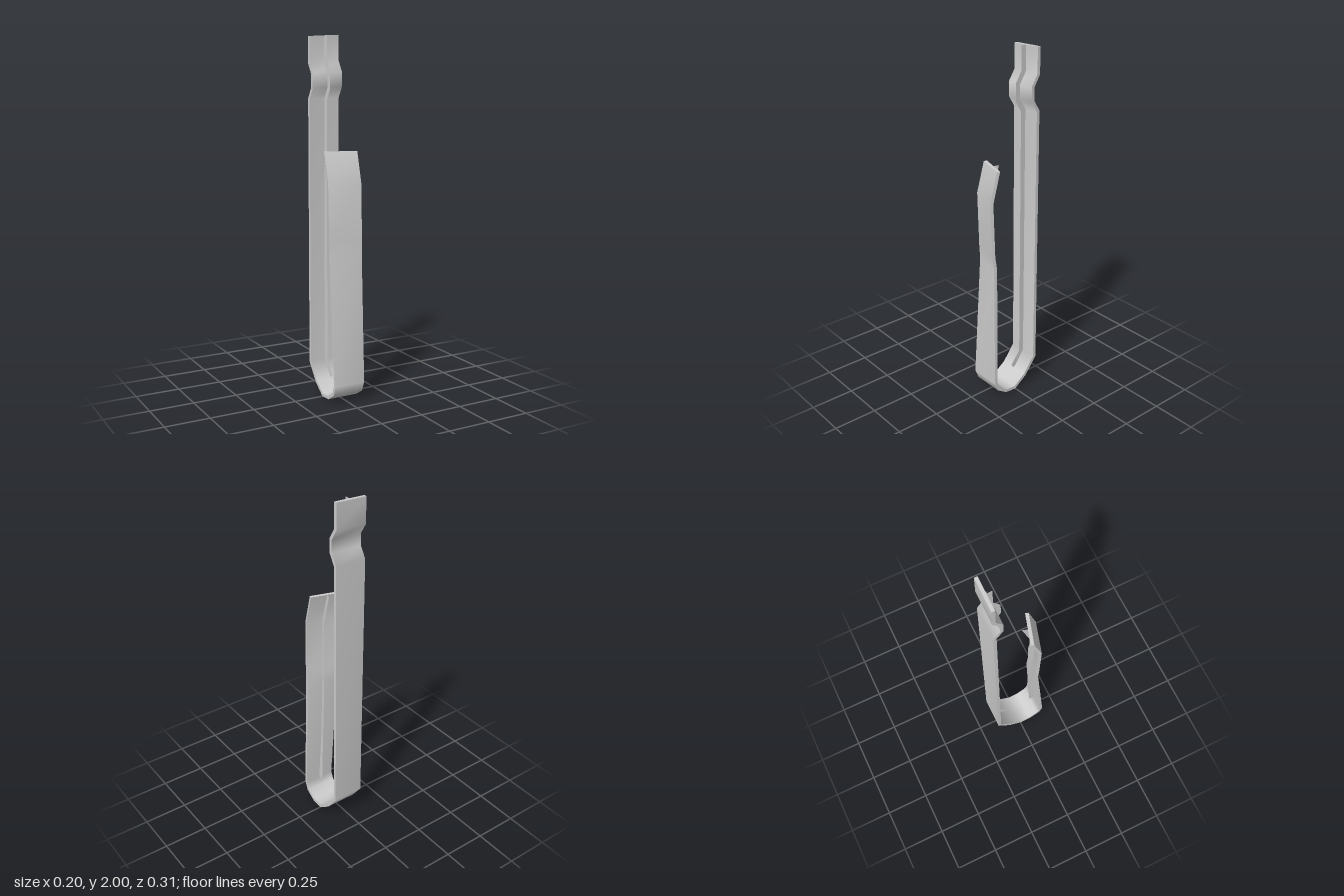
import * as THREE from 'three';
import { mergeGeometries } from 'three/addons/utils/BufferGeometryUtils.js';

const THICK = 0.018, HALF = 0.0905, RIB = 0.03;

// Outer-face stations from the short arm's tip, round the bend, up the long arm:
// z, y, centre x, twist in degrees, sideways tilt
const stations = [
  [0.087, 1.38, -0.013, 17, 0],
  [0.133, 1.21, -0.014, 16.5, 0],
  [0.129, 0.90, -0.006, 16, 0],
  [0.123, 0.82, -0.002, 14, 0],
  [0.154, 0.10, 0.009, 0, 0],
  [0.132, 0.045, 0.009, 0, 0],
  [0.07, 0.005, 0.009, 0, 0],
  [0, 0, 0.009, 0, 0],
  [-0.08, 0.06, 0.009, 0, 0],
  [-0.155, 0.16, 0.009, 0, 0],
  [-0.155, 1.66, 0.008, 0, 0.003],
  [-0.118, 1.72, 0.008, 0, 0.004],
  [-0.118, 1.79, 0.008, 0, 0.004],
  [-0.155, 1.85, 0.008, 0, 0.005],
  [-0.155, 1.995, 0.008, 0, 0.005],
];

// Mitred outward direction (z, y) at a station
function miter(i) {
  const dir = (a, b) => new THREE.Vector2(b[0] - a[0], b[1] - a[1]).normalize();
  const last = stations.length - 1;
  const before = dir(stations[Math.max(i - 1, 0)], stations[Math.max(i, 1)]);
  const after = dir(stations[Math.min(i, last - 1)], stations[Math.min(i + 1, last)]);
  const t = before.clone().add(after).normalize();
  const k = 1 / t.dot(after);
  // tips are cut level
  if (i === 0 || i === last) return { z: -Math.sign(t.y) / Math.abs(t.y), y: 0 };
  return { z: -t.y * k, y: t.x * k };
}

// Point at a station: side -1..1 across the strip, depth inward from the outer face
function point(i, side, depth) {
  const [z, y, x, deg, tilt] = stations[i];
  const a = THREE.MathUtils.degToRad(deg), n = miter(i), q = -depth * n.z, w = side * HALF;
  return [
    x + w * Math.cos(a) - q * Math.sin(a),
    y - depth * n.y + side * tilt,
    z + w * Math.sin(a) + q * Math.cos(a),
  ];
}

// Surface between two rows of points
function ribbon(a, b) {
  const index = [];
  for (let i = 0; i < a.length - 1; i++) {
    const p = 2 * i;
    index.push(p, p + 2, p + 1, p + 1, p + 2, p + 3);
  }
  const geo = new THREE.BufferGeometry();
  geo.setAttribute('position', new THREE.Float32BufferAttribute(a.flatMap((v, i) => [...v, ...b[i]]), 3));
  geo.setIndex(index);
  geo.computeVertexNormals();
  return geo;
}

const row = (from, to, side, depth) => {
  const pts = [];
  for (let i = from; i <= to; i++) pts.push(point(i, side, depth));
  return pts;
};

export function createModel() {
  const group = new THREE.Group();
  const last = stations.length - 1;
  const add = (name, geo, side = THREE.FrontSide) => {
    const mesh = new THREE.Mesh(geo, new THREE.MeshStandardMaterial({ color: 0xcccccc, side }));
    mesh.name = name;
    group.add(mesh);
  };

  // Bent strip: faces, edges and the two tips
  const oL = row(0, last, -1, 0), oR = row(0, last, 1, 0);
  const iL = row(0, last, -1, THICK), iR = row(0, last, 1, THICK);
  add('bentStrip', mergeGeometries([
    ribbon(oL, oR),
    ribbon(iR, iL),
    ribbon(oR, iR),
    ribbon(iL, oL),
    ribbon([oL[0], oR[0]], [iL[0], iR[0]]),
    ribbon([iL[last], iR[last]], [oL[last], oR[last]]),
  ]));

  // Thin stiffening ribs along the inside of each arm
  const rib = (name, from, to) =>
    add(name, ribbon(row(from, to, 0, THICK), row(from, to, 0, THICK + RIB)), THREE.DoubleSide);
  rib('shortArmRib', 0, 4);
  rib('longArmRib', 8, last);

  return group;
}
